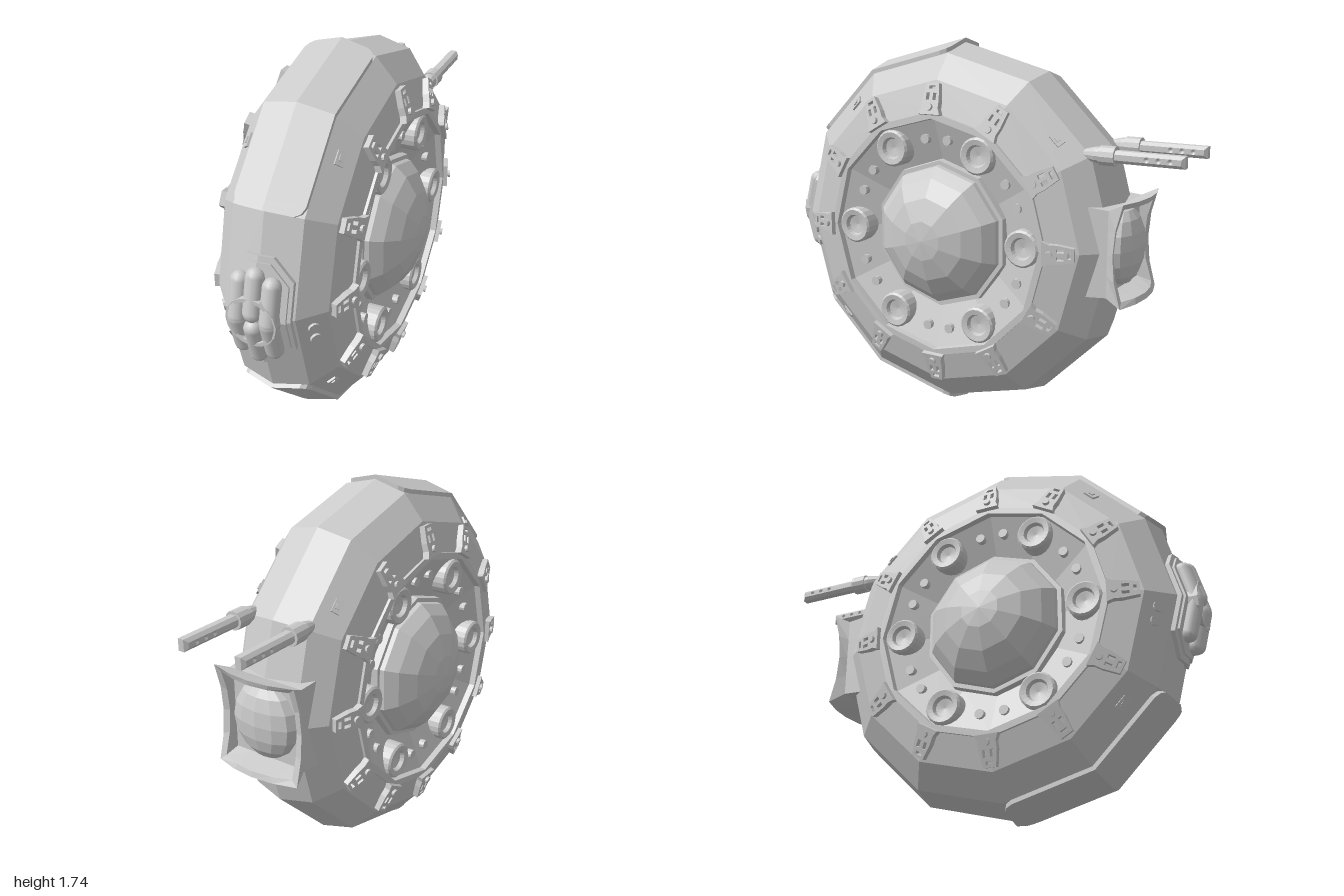
import * as THREE from 'three';

const CY = 0.877, CZ = 0.11, D = Math.PI / 180;
const mat = new THREE.MeshStandardMaterial({ color: 0xcccccc, flatShading: true });
const smooth = new THREE.MeshStandardMaterial({ color: 0xcccccc });
const thin = new THREE.MeshStandardMaterial({ color: 0xcccccc, flatShading: true, side: THREE.DoubleSide });

function add(parent, name, geo, pos = [0, 0, 0], rot = [0, 0, 0], m = mat) {
  const mesh = new THREE.Mesh(geo, m);
  mesh.name = name;
  mesh.position.set(...pos);
  mesh.rotation.set(...rot);
  parent.add(mesh);
  return mesh;
}
function group(parent, name, pos = [0, 0, 0], rot = [0, 0, 0]) {
  const g = new THREE.Group();
  g.name = name;
  g.position.set(...pos);
  g.rotation.set(...rot);
  parent.add(g);
  return g;
}
// Lathe whose axis points along +z; points are [radius, z]
const turned = (pts, sides) =>
  new THREE.LatheGeometry(pts.map(p => new THREE.Vector2(...p)), sides).rotateX(Math.PI / 2);
const disc = (r, h, sides = 10) => new THREE.CylinderGeometry(r, r, h, sides).rotateX(Math.PI / 2);
const poly = pts => new THREE.Shape(pts.map(p => new THREE.Vector2(...p)));

// Plate that hugs the twelve-sided tread; rows are [angle from front, half width]
function treadPlate(rows, lift) {
  const n = rows.length - 1;
  const geo = new THREE.BoxGeometry(2, 2, 1, 2, n, 1);
  const p = geo.attributes.position;
  for (let i = 0; i < p.count; i++) {
    const [deg, w] = rows[Math.round((p.getY(i) + 1) / 2 * n)];
    const x = p.getX(i) * w;
    const mid = Math.floor(deg / 30) * 30 + 15;
    const R = 0.85 - 0.26 * Math.abs(x) + (p.getZ(i) > 0 ? lift : -0.02);
    const r = R * Math.cos(15 * D) / Math.cos((deg - mid) * D);
    p.setXYZ(i, x, r * Math.sin(deg * D), r * Math.cos(deg * D));
  }
  return geo;
}

// Clamp outline with foot, taper and slots
function clampGeometry() {
  const s = poly([[-0.055, -0.02], [0.055, -0.02], [0.042, 0.01], [0.042, 0.045], [0.03, 0.12],
    [-0.03, 0.12], [-0.042, 0.045], [-0.042, 0.01]]);
  const slot = (x, y, w, h) => s.holes.push(new THREE.Path(
    [[x - w, y - h], [x - w, y + h], [x + w, y + h], [x + w, y - h]].map(q => new THREE.Vector2(...q))));
  slot(0, 0.1, 0.016, 0.007);
  slot(-0.017, 0.06, 0.008, 0.016);
  slot(0.017, 0.06, 0.008, 0.016);
  return new THREE.ExtrudeGeometry(s, { depth: 0.032, bevelEnabled: false });
}

// Hub seen facing +z: rim ridge, dome, lamps, bolts and clamps
function buildHub(parent, side) {
  const hub = group(parent, 'hub', [0, 0, 0], [0, side * Math.PI / 2, 0]);
  add(hub, 'rimRidge', turned([[0.565, 0.26], [0.565, 0.3], [0.535, 0.302], [0.53, 0.26]], 12));
  add(hub, 'domeCollar', turned([[0.345, 0.2], [0.34, 0.235], [0.32, 0.235]], 10));
  add(hub, 'dome', turned([[0.325, 0.2], [0.315, 0.255], [0.27, 0.305], [0.19, 0.355], [0.09, 0.388], [0, 0.398]], 10));
  const lamp = turned([[0.083, 0.2], [0.083, 0.285], [0.074, 0.293], [0.05, 0.288], [0.042, 0.27], [0, 0.262]], 20);
  const clamp = clampGeometry();
  for (let i = 0; i < 12; i++) {
    const spoke = group(hub, 'spoke', [0, 0, 0], [0, 0, i * 30 * D]);
    const bracket = group(spoke, 'clamp', [0, 0.565, 0.283], [-0.3, 0, 0]);
    add(bracket, 'clampPlate', clamp);
    add(bracket, 'clampBolt', disc(0.016, 0.02), [0, 0.012, 0.035]);
    if (i % 2) add(spoke, 'lamp', lamp, [0, 0.443, 0]);
    else for (const k of [-1, 1]) {
      const a = k * 7.5 * D;
      add(spoke, 'hubBolt', disc(0.022, 0.03), [0.44 * Math.sin(a), 0.44 * Math.cos(a), 0.25]);
    }
  }
}

// Front cluster: bent mount, rounded cylinders and central muzzle
function buildFrontCluster(wheel) {
  const g = group(wheel, 'frontCluster');
  const mount = k => [[-18 * k, 0.06 * k], [-11.5 * k, 0.145 * k], [0, 0.145 * k], [11.5 * k, 0.145 * k], [18 * k, 0.06 * k]];
  add(g, 'clusterMount', treadPlate(mount(1), 0.02));
  add(g, 'clusterInset', treadPlate(mount(0.9), 0.03));
  for (const s of [-1, 1]) {
    const half = group(g, 'cylinderBank', [0, 0, 0], [-s * 15 * D, 0, 0]);
    for (const x of [-1, 0, 1]) {
      const drop = x ? 0.03 : 0;
      add(half, 'roundedCylinder', new THREE.CapsuleGeometry(0.04, 0.15, 4, 12),
        [x * 0.07, -s * (0.115 + drop), 0.85 - drop / 3], [0, 0, 0], smooth);
    }
  }
  add(g, 'muzzle', turned([[0.112, 0.8], [0.112, 0.89], [0.096, 0.89], [0.096, 0.865], [0, 0.865]], 16));
}

// Rear housing: flared square loft with bowed lips and a faceted lens
function buildRearHousing(root) {
  const g = group(root, 'rearHousing', [0, CY, 0]);
  const rings = [[0.2, 0.2, -0.55, 0], [0.19, 0.19, -0.69, 0], [0.21, 0.225, -0.762, 0.04],
    [0.18, 0.2, -0.755, 0.04], [0.17, 0.18, -0.69, 0], [0, 0, -0.69, 0]];
  const corners = [[-1, -1], [1, -1], [1, 1], [-1, 1]];
  const pos = [], idx = [], n = 16;
  for (const [w, h, z, bow] of rings)
    for (let i = 0; i < n; i++) {
      const a = corners[i >> 2], b = corners[((i >> 2) + 1) % 4], t = (i % 4) / 4;
      const px = a[0] + (b[0] - a[0]) * t, py = a[1] + (b[1] - a[1]) * t;
      pos.push(px * w, py * h, z - bow * (py * py - px * px));
    }
  for (let j = 0; j < rings.length - 1; j++)
    for (let i = 0; i < n; i++) {
      const a = j * n + i, b = j * n + (i + 1) % n;
      idx.push(a, a + n, b, b, a + n, b + n);
    }
  const geo = new THREE.BufferGeometry();
  geo.setAttribute('position', new THREE.Float32BufferAttribute(pos, 3));
  geo.setIndex(idx);
  geo.computeVertexNormals();
  add(g, 'housingShell', geo, [0, 0, 0], [0, 0, 0], thin);
  add(g, 'rearLens', new THREE.SphereGeometry(1, 12, 8), [0, 0, -0.69]).scale.set(0.165, 0.175, 0.08);
}

// Rear gun: tapered root, sleeve and chamfered barrel with cross holes
function buildGun(root, side) {
  const g = group(root, 'rearGun', [side * 0.145, 1.29, 0]);
  const tube = (r0, r1, z0, z1) => // r0 at z0 (front), r1 at z1 (rear)
    new THREE.CylinderGeometry(r0, r1, z0 - z1, 12).rotateX(Math.PI / 2).translate(0, 0, (z0 + z1) / 2);
  add(g, 'gunRoot', tube(0.008, 0.035, -0.5, -0.61));
  add(g, 'gunSleeve', tube(0.035, 0.035, -0.61, -0.64));
  add(g, 'gunCollar', tube(0.042, 0.042, -0.63, -0.7));
  const s = poly([[0.66, -0.012], [0.986, -0.012], [0.986, 0.012], [0.66, 0.012]]);
  for (const c of [0.84, 0.89, 0.94]) s.holes.push(new THREE.Path().absarc(c, 0, 0.011, 0, Math.PI * 2, true));
  const barrel = new THREE.ExtrudeGeometry(s, {
    depth: 0.028, bevelThickness: 0.014, bevelSize: 0.014, bevelSegments: 1, bevelOffset: 0, curveSegments: 8 });
  // Bore holes are kept open by scaling the chamfer only on the outside
  const p = barrel.attributes.position;
  for (let i = 0; i < p.count; i++)
    for (const c of [0.84, 0.89, 0.94]) {
      const dx = p.getX(i) - c, dy = p.getY(i), d = Math.hypot(dx, dy);
      if (d < 0.0125 && d > 0) p.setXY(i, c + dx / d * 0.012, dy / d * 0.012);
    }
  barrel.translate(0, 0, -0.014).rotateY(Math.PI / 2);
  add(g, 'gunBarrel', barrel);
}

export function createModel() {
  const root = new THREE.Group();
  root.name = 'wheelCraft';
  const wheel = group(root, 'wheel', [0, CY, CZ]);

  // Twelve-sided body with dished sides
  const half = [[0, 0.2], [0.33, 0.2], [0.535, 0.275], [0.565, 0.288], [0.70, 0.25], [0.81, 0.155]];
  const profile = [...half.map(([r, x]) => [r, -x]), [0.85, 0], ...half.slice().reverse()];
  add(wheel, 'body', turned(profile, 12), [0, 0, 0], [0, Math.PI / 2, 0]);

  // Rounded armour plates on the upper and lower front
  const rows = [[30, 0.12], [31, 0.143], [33, 0.155], [60, 0.155], [87, 0.155], [89, 0.143], [90, 0.12]];
  add(wheel, 'upperPlate', treadPlate(rows, 0.02));
  add(wheel, 'lowerPlate', treadPlate(rows.map(([a, w]) => [-a, w]).reverse(), 0.02));

  buildFrontCluster(wheel);
  for (const s of [-1, 1]) {
    buildHub(wheel, s);
    buildGun(root, s);
    // Small fittings on the sloping shoulders
    const fit = (name, facet, y, geo) => {
      const f = group(wheel, 'shoulder', [0, 0, 0], [-facet * D, 0, 0]);
      return add(f, name, geo, [s * 0.2, y, 0.732], [0, s * 0.857, 0]);
    };
    for (const y of [0.13, 0.065]) fit('shoulderStud', -15, y, disc(0.024, 0.022, 12));
    for (const [a, y] of [[45, 0.065], [-45, 0.065], [135, 0.065]]) {
      fit('hatch', a, y, new THREE.BoxGeometry(0.04, 0.06, 0.018));
      fit('hatchLatch', a, y, new THREE.BoxGeometry(0.018, 0.025, 0.028));
    }
  }
  buildRearHousing(root);
  return root;
}
